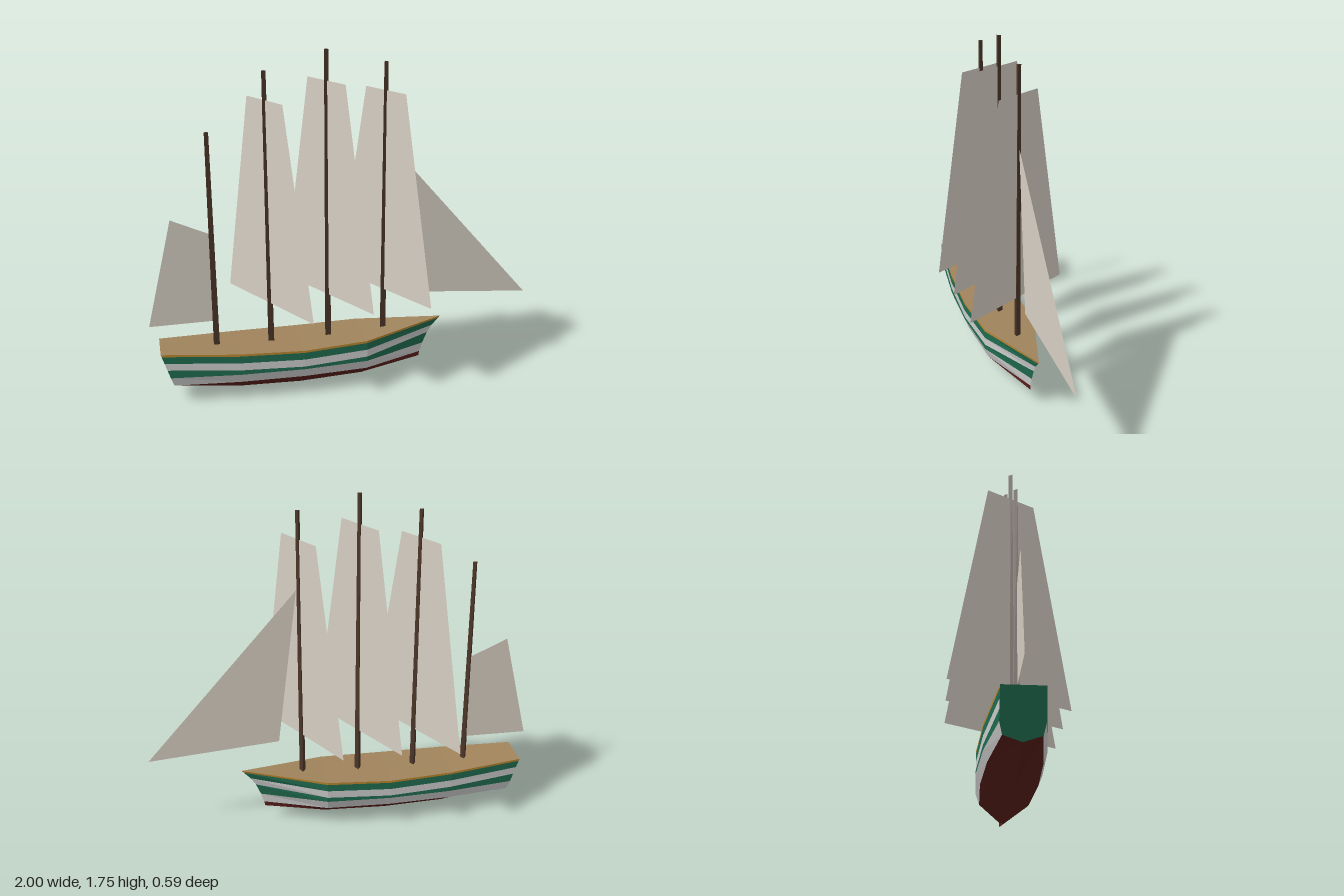
import * as THREE from 'three';

const paint = (color, side = THREE.FrontSide) =>
  new THREE.MeshStandardMaterial({ color, side, flatShading: true });

// Flat-shaded mesh from a list of quads, corners counter-clockwise from outside
function quadMesh(name, quads, material) {
  const pos = [];
  for (const [a, b, c, d] of quads) pos.push(...a, ...b, ...c, ...a, ...c, ...d);
  const geo = new THREE.BufferGeometry();
  geo.setAttribute('position', new THREE.Float32BufferAttribute(pos, 3));
  geo.computeVertexNormals();
  const mesh = new THREE.Mesh(geo, material);
  mesh.name = name;
  return mesh;
}

// Hull stations from stern to bow: x at deck, x at keel, half width, deck height, keel height
const STATIONS = [
  [-0.955, -0.89, 0.092, 0.285, 0.075],
  [-0.57, -0.56, 0.135, 0.265, 0.012],
  [-0.24, -0.24, 0.15, 0.255, 0],
  [0.09, 0.09, 0.135, 0.265, 0.012],
  [0.525, 0.41, 0, 0.30, 0.075],
];
const ROW_WIDTH = [1, 1, 1, 1, 1, 0.87, 0];
const STEM_X = [0.525, 0.515, 0.48, 0.455, 0.43, 0.415, 0.41];

// Points down one side of a station, from the rail to the keel
function section([xTop, xKeel, half, deck, keel], isBow) {
  const heights = [deck, deck - 0.012, deck - 0.05, deck - 0.09, 0.15, 0.1, keel];
  return heights.map((y, r) => {
    const t = (deck - y) / (deck - keel);
    const x = isBow ? STEM_X[r] : xTop + (xKeel - xTop) * t;
    return [x, y, half * ROW_WIDTH[r]];
  });
}

const mirror = ([x, y, z]) => [x, y, -z];

function buildHull() {
  const hull = new THREE.Group();
  hull.name = 'hull';
  const s = STATIONS.map((st, i) => section(st, i === STATIONS.length - 1));
  const green = paint(0x1f6b4f), white = paint(0xdededa);

  // Painted bands along both sides
  const bands = [
    ['rail', paint(0xb8862e)], ['upperGreenBand', green], ['upperWhiteBand', white],
    ['lowerGreenBand', green], ['lowerWhiteBand', white], ['bottom', paint(0x5a1f1a)],
  ];
  bands.forEach(([name, mat], r) => {
    const quads = [];
    for (let i = 0; i < s.length - 1; i++) {
      const q = [s[i][r], s[i][r + 1], s[i + 1][r + 1], s[i + 1][r]];
      quads.push(q, q.map(mirror).reverse());
    }
    hull.add(quadMesh(name, quads, mat));
  });

  // Flat stern
  const stern = s[0];
  hull.add(quadMesh('transom', stern.slice(1).map((p, r) =>
    [mirror(stern[r]), mirror(p), p, stern[r]]), green));

  // Deck between the rails
  hull.add(quadMesh('deck', s.slice(1).map((st, i) =>
    [s[i][0], st[0], mirror(st[0]), mirror(s[i][0])]), paint(0xa0845c)));
  return hull;
}

export function createModel() {
  const model = new THREE.Group();
  model.name = 'sailingShip';
  model.add(buildHull());

  const wood = paint(0x4a3528);
  const canvas = paint(0xd6cec2, THREE.DoubleSide);
  const sail = (name, points) => {
    const mesh = new THREE.Mesh(
      new THREE.ShapeGeometry(new THREE.Shape(points.map(p => new THREE.Vector2(...p)))), canvas);
    mesh.name = name;
    model.add(mesh);
    return mesh;
  };

  // Three-sided masts: x, top, then the foot and head of the square sail
  const masts = [
    ['mizzen', -0.67, 1.38],
    ['aft', -0.39, 1.66, 0.47, 1.52],
    ['main', -0.09, 1.75, 0.49, 1.60],
    ['fore', 0.205, 1.68, 0.49, 1.54],
  ];
  for (const [name, x, top, foot, head] of masts) {
    const base = 0.2;
    const mast = new THREE.Mesh(new THREE.CylinderGeometry(0.012, 0.018, top - base, 3), wood);
    mast.name = name + 'Mast';
    mast.rotation.y = Math.PI;
    mast.position.set(x, (top + base) / 2, 0);
    model.add(mast);
    if (!head) continue;
    // Square sail braced round at an angle
    const square = sail(name + 'Sail', [[-0.34, foot], [0.34, foot], [0.136, head], [-0.136, head]]);
    square.position.x = x;
    square.rotation.y = -Math.PI / 3;
  }

  // Fore-and-aft sails on the centre line
  sail('jib', [[0.325, 0.46], [0.995, 0.40], [0.22, 1.285]]);
  sail('spanker', [[-1, 0.40], [-0.67, 0.40], [-0.67, 0.865], [-0.865, 0.955]]);
  return model;
}
